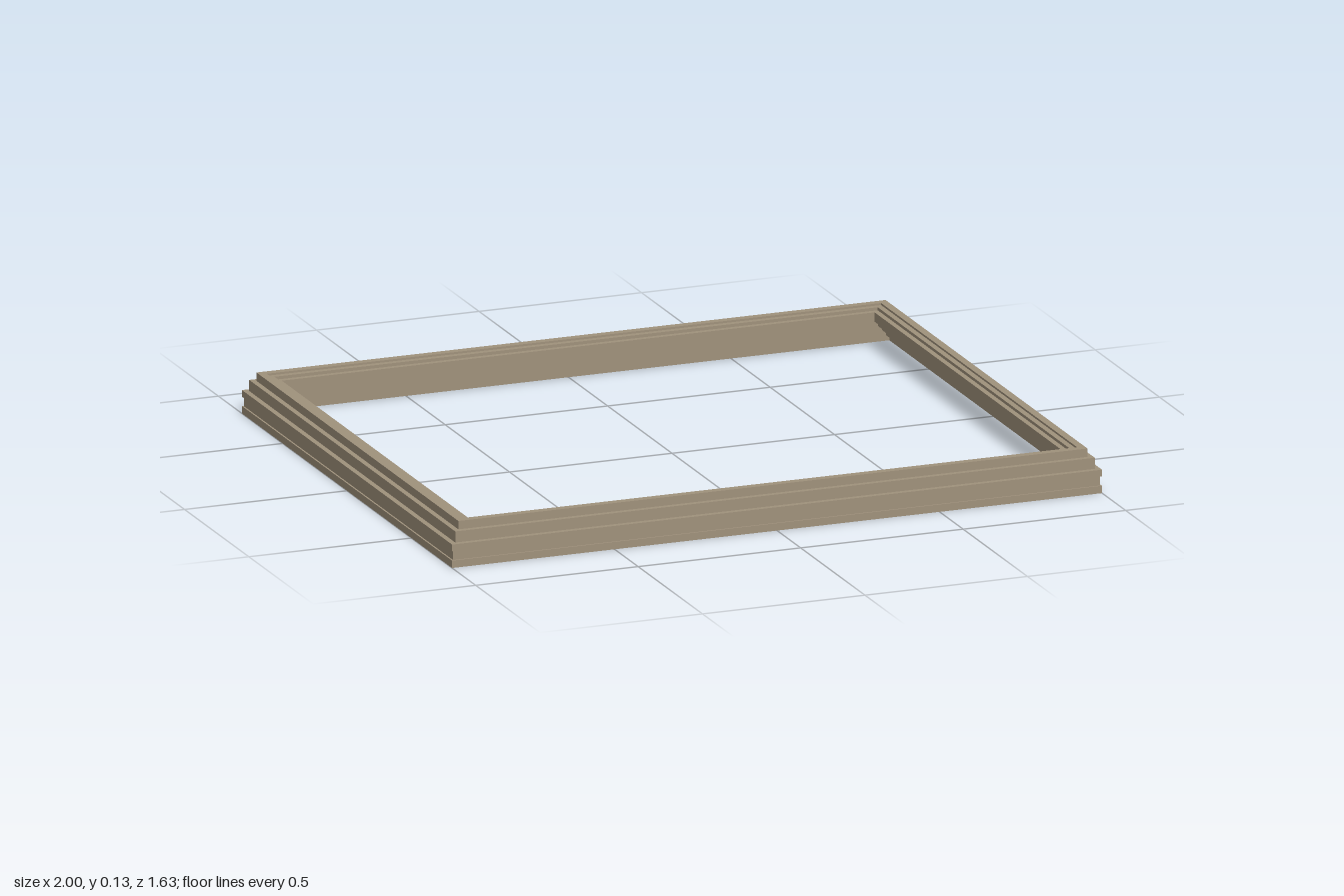
import * as THREE from 'three';

const HALF_X = 1, HALF_Z = 0.817;

// Moulding cross-section as [inset from the outer edge, height]:
// up the stepped outside, over the crest, down to the lip, back under in steps
const PROFILE = [
  [0, 0], [0, 0.022], [0.005, 0.022], [0.005, 0.05], [0, 0.05], [0, 0.07],
  [0.016, 0.07], [0.016, 0.103], [0.032, 0.103], [0.032, 0.128],
  [0.055, 0.128], [0.055, 0.122], [0.072, 0.122], [0.072, 0.113],
  [0.088, 0.113], [0.088, 0.085], [0.07, 0.085], [0.07, 0.065],
  [0.05, 0.065], [0.05, 0.045], [0.03, 0.045], [0.03, 0.022],
  [0.013, 0.022], [0.013, 0],
];

// Corner signs, counter-clockwise seen from above
const CORNERS = [[-1, 1], [1, 1], [1, -1], [-1, -1]];
const NAMES = ['frontRail', 'leftRail', 'backRail', 'rightRail'];

// A profile point placed on the mitre line of a corner
const mitre = ([sx, sz], [inset, y]) => [sx * (HALF_X - inset), y, sz * (HALF_Z - inset)];

// One rail swept between two mitred corners
function railGeometry(a, b) {
  const positions = [];
  PROFILE.forEach((p, i) => {
    const q = PROFILE[(i + 1) % PROFILE.length];
    const a0 = mitre(a, p), b0 = mitre(b, p), b1 = mitre(b, q), a1 = mitre(a, q);
    positions.push(...a0, ...b0, ...b1, ...a0, ...b1, ...a1);
  });
  const geometry = new THREE.BufferGeometry();
  geometry.setAttribute('position', new THREE.Float32BufferAttribute(positions, 3));
  geometry.computeVertexNormals();
  return geometry;
}

export function createModel() {
  const frame = new THREE.Group();
  frame.name = 'mouldedFrame';
  const material = new THREE.MeshStandardMaterial({ color: 0xa0927c });
  NAMES.forEach((name, i) => {
    const rail = new THREE.Mesh(railGeometry(CORNERS[i], CORNERS[(i + 1) % 4]), material);
    rail.name = name;
    frame.add(rail);
  });
  return frame;
}
